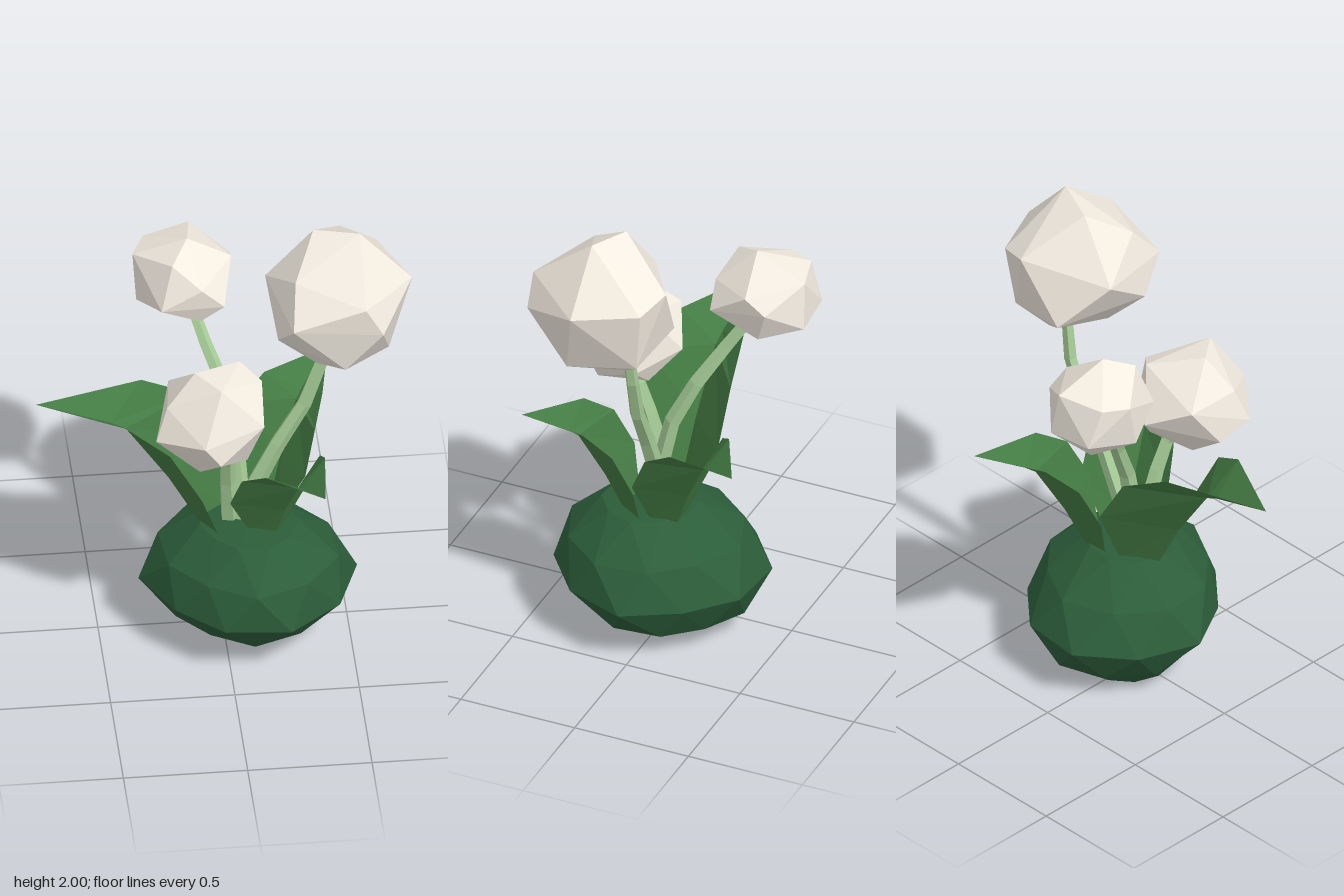
import * as THREE from 'three';
import { ConvexGeometry } from 'three/addons/geometries/ConvexGeometry.js';

const material = (color, side = THREE.FrontSide) =>
  new THREE.MeshStandardMaterial({ color, flatShading: true, side });
const bulbMat = material(0x2c5d3a);
const leafMat = material(0x437a42, THREE.DoubleSide);
const stemMat = material(0xa6cc97);
const bloomMat = material(0xf2ebe0);

function part(name, geometry, mat) {
  const mesh = new THREE.Mesh(geometry, mat);
  mesh.name = name;
  return mesh;
}

// Squat faceted bulb: lathe rings that twist by half a facet each, flattened along one diagonal
function makeBulb() {
  const profile = [[0, 0], [0.17, 0.015], [0.33, 0.1], [0.44, 0.25], [0.37, 0.41], [0.2, 0.54], [0, 0.56]];
  const sides = 10;
  const geo = new THREE.LatheGeometry(profile.map(([r, y]) => new THREE.Vector2(r, y)), sides);
  const pos = geo.attributes.position;
  for (let i = 0; i < pos.count; i++) {
    const ring = i % profile.length;
    const turn = (Math.floor(i / profile.length) + ring / 2) * 2 * Math.PI / sides;
    const [radius, y] = profile[ring];
    const r = radius * (1 - 0.04 * (1 - Math.cos(4 * turn)) + 0.05 * Math.sin(2 * turn));
    const swayX = Math.min(0, y - 0.1) * 0.9;
    const swayZ = (y - 0.25) * 0.18;
    pos.setXYZ(i, 0.1 + swayX + r * Math.sin(turn), y, 0.02 + swayZ + r * Math.cos(turn));
  }
  geo.computeVertexNormals();
  return part('bulb', geo, bulbMat);
}

// Folded leaf: each station gives midrib reach and rise, edge reach and rise, half width
const leafStations = [
  [0.20, 0.00, 0.10, 0.00, 0.10],
  [0.32, 0.22, 0.14, 0.26, 0.22],
  [0.49, 0.47, 0.27, 0.48, 0.21],
  [0.55, 0.50, 0.46, 0.59, 0.16],
  [0.85, 0.60, 0.85, 0.60, 0.00],
];

// skew pushes one edge outwards and the other inwards
function makeLeaf(name, [x, z], angle, reach, rise, width, skew) {
  const verts = [], index = [];
  leafStations.forEach(([midX, midY, edgeX, edgeY, w], i) => {
    verts.push(
      edgeX * reach + skew * w, edgeY * rise, -w * width,
      midX * reach, midY * rise, 0,
      edgeX * reach - skew * w, edgeY * rise, w * width);
    if (i === 0) return;
    for (const k of [0, 1]) {
      const a = (i - 1) * 3 + k, b = i * 3 + k;
      index.push(a, a + 1, b, a + 1, b + 1, b);
    }
  });
  const geo = new THREE.BufferGeometry();
  geo.setAttribute('position', new THREE.Float32BufferAttribute(verts, 3));
  geo.setIndex(index);
  geo.computeVertexNormals();
  const leaf = part(name, geo, leafMat);
  leaf.position.set(x, 0.53, z);
  leaf.rotation.y = angle;
  return leaf;
}

// Five-sided stem that narrows towards the bloom
function makeStem(name, points) {
  const curve = new THREE.CatmullRomCurve3(points.map(p => new THREE.Vector3(...p)));
  const rings = 5, sides = 5;
  const geo = new THREE.TubeGeometry(curve, rings, 0.042, sides);
  const pos = geo.attributes.position;
  const v = new THREE.Vector3();
  for (let i = 0; i < pos.count; i++) {
    const t = Math.floor(i / (sides + 1)) / rings;
    const centre = curve.getPointAt(t);
    v.fromBufferAttribute(pos, i).sub(centre).multiplyScalar(1 - 0.45 * t).add(centre);
    pos.setXYZ(i, v.x, v.y, v.z);
  }
  geo.computeVertexNormals();
  return part(name, geo, stemMat);
}

// Corners of the irregular closed bloom, wrapped in a convex skin
const bloomCorners = [
  [0.08, 0.295, 0.02], [-0.10, 0.275, -0.05], [-0.19, 0.15, 0.13],
  [0.03, 0.11, -0.28], [0.17, 0.07, -0.23], [0.29, 0.06, 0.02], [-0.29, 0.03, -0.09],
  [0.08, 0.10, 0.275], [0.15, -0.03, 0.27], [-0.21, 0.0, 0.26], [-0.26, -0.13, 0.13],
  [0.0, -0.215, 0.24], [0.19, -0.235, 0.08], [-0.10, -0.295, 0.08],
  [0.14, -0.20, -0.20], [-0.14, -0.16, -0.24], [0.03, -0.295, -0.12],
];

// Bloom turned, then fitted to a given centre and size
function makeBloom(name, centre, size, turn) {
  const euler = new THREE.Euler(...turn);
  const geo = new ConvexGeometry(bloomCorners.map(c => new THREE.Vector3(...c).applyEuler(euler)));
  geo.center();
  const box = geo.boundingBox.getSize(new THREE.Vector3());
  geo.scale(size[0] / box.x, size[1] / box.y, size[2] / box.z);
  geo.computeVertexNormals();
  const bloom = part(name, geo, bloomMat);
  bloom.position.set(...centre);
  return bloom;
}

export function createModel() {
  const model = new THREE.Group();
  model.name = 'flowerPlant';
  model.add(
    makeBulb(),
    makeLeaf('longLeaf', [0.1, 0.04], Math.PI - 0.06, 1, 1, 1, 0.24),
    makeLeaf('frontLeaf', [0.15, 0.03], Math.atan2(-0.49, 0.21), 0.63, 0.74, 0.85, 0),
    makeLeaf('backLeaf', [0.12, 0.02], Math.atan2(0.47, 0.35), 0.69, 0.78, 0.85, 0),
    makeStem('tallStem', [[0.07, 0.5, 0.05], [0.16, 0.8, 0.04], [0.28, 1.0, 0.04], [0.38, 1.22, 0.02], [0.43, 1.5, 0.03]]),
    makeStem('backStem', [[0.06, 0.5, 0.04], [0.06, 0.8, 0.03], [0.03, 1.05, -0.07], [-0.05, 1.25, -0.19], [-0.11, 1.42, -0.3]]),
    makeStem('frontStem', [[0.03, 0.5, 0.03], [0.01, 0.8, 0.09], [0, 1.01, 0.17], [-0.05, 1.12, 0.22]]),
    makeBloom('tallBloom', [0.46, 1.705, 0.11], [0.58, 0.59, 0.56], [0, 0, 0]),
    makeBloom('backBloom', [-0.125, 1.51, -0.33], [0.4, 0.38, 0.4], [0.3, 1.4, 0.1]),
    makeBloom('frontBloom', [-0.08, 1.225, 0.245], [0.44, 0.43, 0.49], [0.4, -0.5, 0.15]),
  );
  return model;
}
